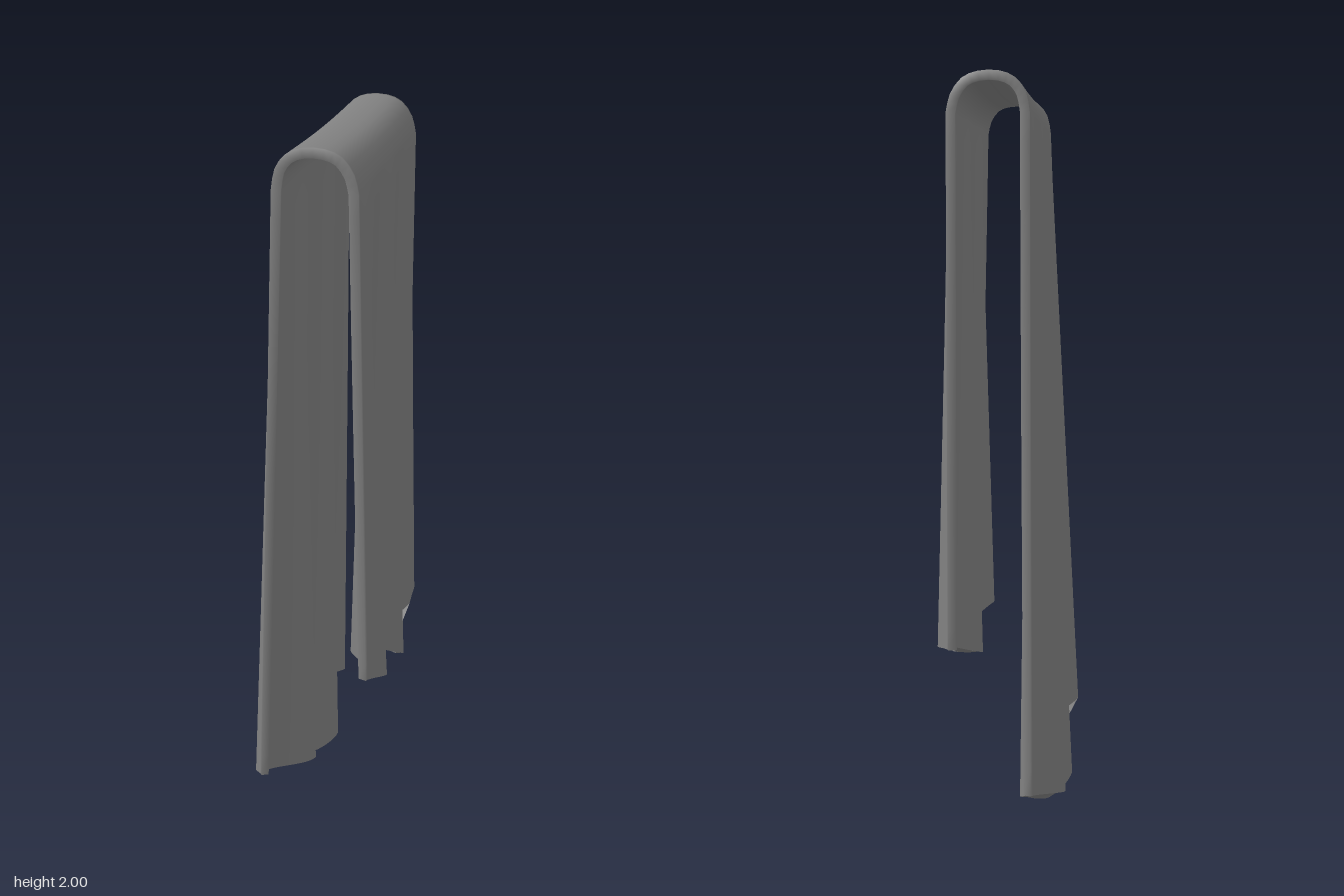
import * as THREE from 'three';

const HALF = 0.335, THICK = 0.024, COLS = 84, ROWS = 26, ARCH = 14;

// Smooth interpolation through [z, value] keys
function sample(keys, z) {
  let i = 0;
  while (i < keys.length - 2 && z > keys[i + 1][0]) i++;
  const [z0, a] = keys[i], [z1, b] = keys[i + 1];
  const t = THREE.MathUtils.clamp((z - z0) / (z1 - z0), 0, 1);
  return a + (b - a) * (0.4 * t + 0.6 * t * t * (3 - 2 * t));
}

// Each hanging side: fold outline and height of its hem, and spans closed across a fold
const longSide = {
  topX: -0.094,
  fold: [[-0.335, -0.1], [-0.265, -0.19], [-0.11, -0.074], [0.025, -0.19], [0.15, -0.076], [0.31, -0.19], [0.335, -0.165]],
  hem: [[-0.335, 0.13], [-0.26, 0.12], [-0.05, 0.005], [0.12, 0.13], [0.335, 0.19]],
  spans: [[-0.265, -0.03], [0.09, 0.31]],
};
const shortSide = {
  topX: 0.115,
  fold: [[-0.335, 0.118], [-0.27, 0.156], [-0.2, 0.156], [-0.1, 0.077], [-0.01, 0.178], [0.14, 0.075], [0.28, 0.188], [0.335, 0.14]],
  hem: [[-0.335, 0.525], [-0.24, 0.51], [-0.04, 0.43], [0.13, 0.53], [0.335, 0.57]],
  spans: [[-0.2, -0.05], [0.06, 0.28]],
};

// Point on a hanging side, t = 0 at the shoulder and 1 at the hem
function sidePoint(side, z, t) {
  return new THREE.Vector3(
    THREE.MathUtils.lerp(side.topX, sample(side.fold, z), t),
    THREE.MathUtils.lerp(1.9, sample(side.hem, z), t), z);
}

const arch = new THREE.CatmullRomCurve3([
  [-0.094, 1.9], [-0.084, 1.95], [-0.058, 1.984], [-0.02, 2], [0.035, 2],
  [0.075, 1.984], [0.104, 1.945], [0.115, 1.9],
].map(([x, y]) => new THREE.Vector3(x, y, 0)));

// Outer face point: row r runs from the long hem over the top to the short hem
const TOTAL = ROWS * 2 + ARCH;
function outer(r, z) {
  if (r < ROWS) return sidePoint(longSide, z, 1 - r / ROWS);
  if (r > ROWS + ARCH) return sidePoint(shortSide, z, (r - ROWS - ARCH) / ROWS);
  const p = arch.getPoint((r - ROWS) / ARCH);
  const sag = 0.008 * Math.cos((z / HALF) * Math.PI / 2) * Math.max(0, (p.y - 1.9) / 0.1);
  return p.set(p.x, p.y - sag, z);
}

// Inner face point, offset by the cloth thickness
function inner(r, z) {
  const e = 0.008;
  const du = outer(Math.min(r + 0.5, TOTAL), z).sub(outer(Math.max(r - 0.5, 0), z));
  const dv = outer(r, Math.min(z + e, HALF)).sub(outer(r, Math.max(z - e, -HALF)));
  const n = dv.cross(du).normalize();
  n.z *= 0.6;
  const p = outer(r, z).addScaledVector(n, -THICK);
  p.z = THREE.MathUtils.clamp(p.z, -HALF, HALF);
  return p;
}

// Surface skinned over equal rows of points
function skin(rows, closed) {
  const n = rows[0].length, index = [];
  for (let r = 0; r < rows.length - 1; r++) {
    for (let c = 0; c < (closed ? n : n - 1); c++) {
      const c1 = (c + 1) % n;
      const a = r * n + c, b = r * n + c1, d = a + n, e = b + n;
      index.push(a, b, e, a, e, d);
    }
  }
  const g = new THREE.BufferGeometry().setFromPoints(rows.flat());
  g.setIndex(index);
  g.computeVertexNormals();
  return g;
}

export function createModel() {
  const model = new THREE.Group();
  model.name = 'drapedTowel';
  const cloth = new THREE.MeshStandardMaterial({ color: 0x808080, side: THREE.DoubleSide });
  cloth.name = 'grey cloth';
  const add = (name, geometry) => {
    const mesh = new THREE.Mesh(geometry, cloth);
    mesh.name = name;
    model.add(mesh);
  };
  const zs = Array.from({ length: COLS + 1 }, (_, i) => -HALF + (2 * HALF * i) / COLS);

  // Folded cloth with thickness
  const rows = [];
  for (let r = 0; r <= TOTAL; r++) {
    rows.push([...zs.map((z) => outer(r, z)), ...zs.slice().reverse().map((z) => inner(r, z))]);
  }
  add('cloth', skin(rows, true));

  // Hems and the flat pieces closing the folds at each end
  for (const [name, side, r] of [['longHem', longSide, 0], ['shortHem', shortSide, TOTAL]]) {
    const edge = [zs.map((z) => outer(r, z)), zs.map((z) => inner(r, z))];
    add(name, skin(r ? edge : edge.reverse(), false));
    side.spans.forEach(([z0, z1], i) => {
      const a = outer(r, z0), b = outer(r, z1), chord = [], valley = [];
      for (let k = 0; k <= 20; k++) {
        chord.push(a.clone().lerp(b, k / 20));
        valley.push(outer(r, z0 + ((z1 - z0) * k) / 20));
      }
      add(`${name}Fold${i + 1}`, skin(r ? [chord, valley] : [valley, chord], false));
    });
  }
  return model;
}
